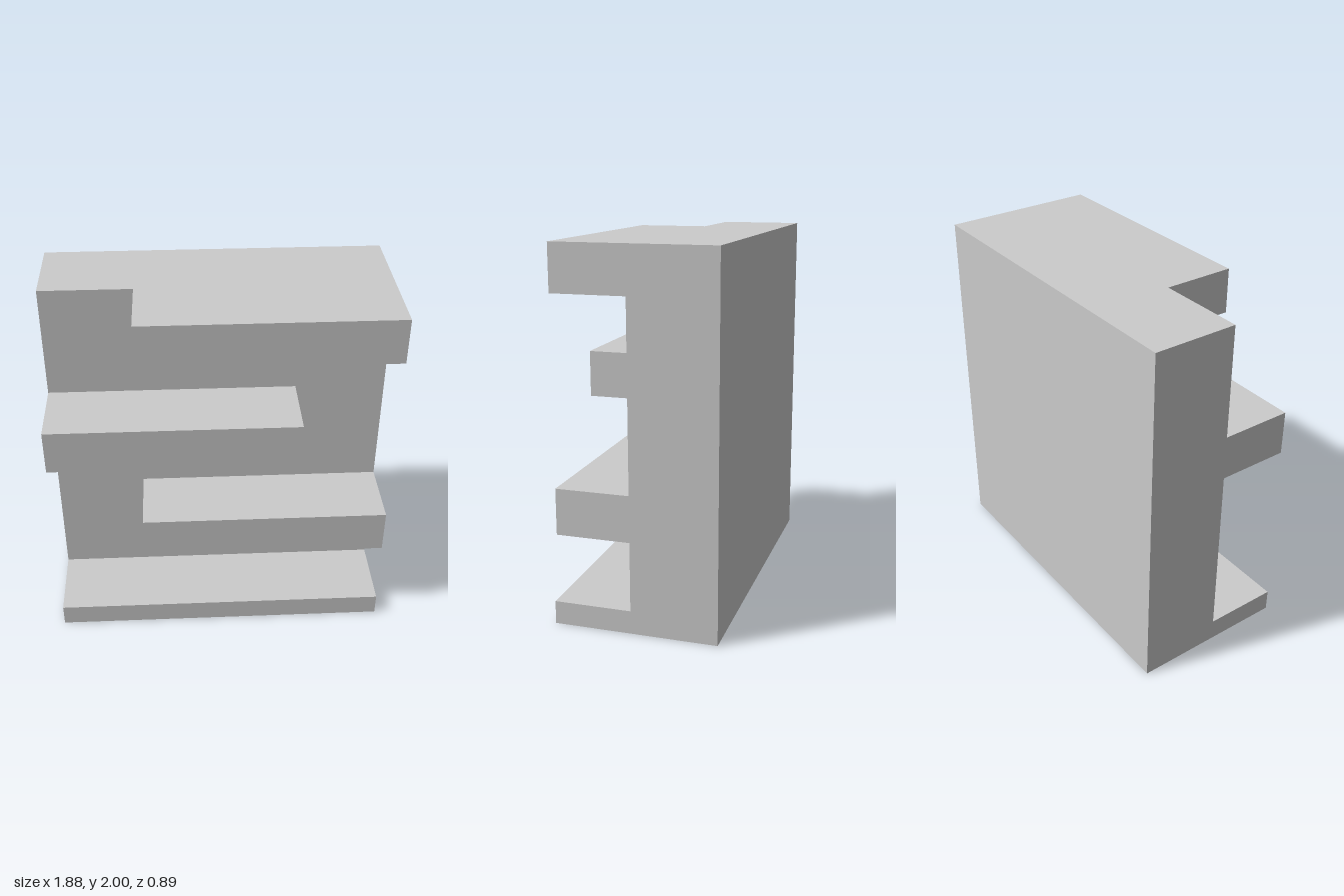
import * as THREE from 'three';

const W = 0.9375;      // half width
const BACK = -0.443;   // rear face
const WALL = 0.023;    // front face of the wall
const LEDGE = 0.422;   // front face of the ledges

export function createModel() {
  const group = new THREE.Group();
  const material = new THREE.MeshStandardMaterial({ color: 0xcccccc, flatShading: true });

  // Box given by its lower and upper limits on each axis
  const block = (name, [x0, x1], [y0, y1], [z0, z1]) => {
    const mesh = new THREE.Mesh(new THREE.BoxGeometry(x1 - x0, y1 - y0, z1 - z0), material);
    mesh.position.set((x0 + x1) / 2, (y0 + y1) / 2, (z0 + z1) / 2);
    mesh.name = name;
    group.add(mesh);
  };

  // Thick back wall and the full-width foot in front of it
  block('backWall', [-W, W], [0, 2], [BACK, WALL]);
  block('foot', [-W, W], [0, 0.125], [WALL, 0.443]);

  // Staggered ledges, flush with alternating sides
  block('lowerLedge', [-0.4375, W], [0.5, 0.75], [WALL, LEDGE]);
  block('middleLedge', [-W, 0.4375], [1.125, 1.375], [WALL, LEDGE]);
  block('topLedge', [-0.4375, W], [1.75, 2], [WALL, LEDGE]);

  return group;
}
